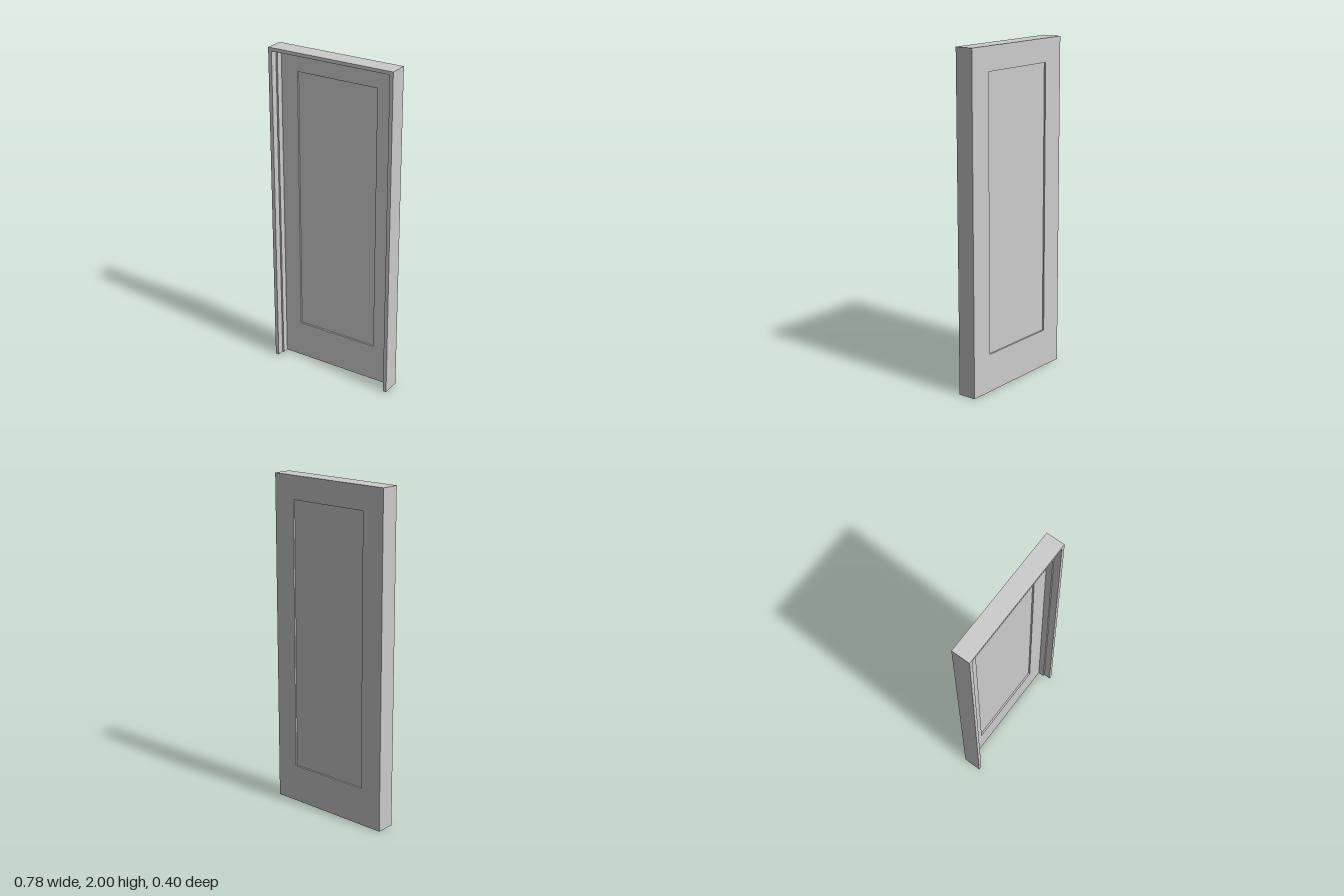
import * as THREE from 'three';

const W = 0.8, H = 2, D = 0.112;      // overall width, height, depth
const DOOR = 0.032;                   // door leaf thickness
const JAMB = 0.022, HEAD = 0.02;      // casing thickness
const STOP = 0.01, STOP_DEPTH = 0.038; // inner stop strip

export function createModel() {
  const model = new THREE.Group();
  model.name = 'door';
  const mat = new THREE.MeshStandardMaterial({ color: 0xcccccc });

  const add = (name, geometry, x = 0, y = 0, z = 0) => {
    const mesh = new THREE.Mesh(geometry, mat);
    mesh.name = name;
    mesh.position.set(x, y, z);
    model.add(mesh);
  };
  const box = (name, w, h, d, x, y, z) => add(name, new THREE.BoxGeometry(w, h, d), x, y, z);

  // Door leaf: a flush slab with a rectangular opening for the panel
  const back = -D / 2, face = back + DOOR;
  const [px, y0, y1] = [0.259, 0.23, 1.86];
  const leaf = new THREE.Shape([
    new THREE.Vector2(-W / 2, 0), new THREE.Vector2(W / 2, 0),
    new THREE.Vector2(W / 2, H), new THREE.Vector2(-W / 2, H),
  ]);
  leaf.holes.push(new THREE.Path([
    new THREE.Vector2(-px, y0), new THREE.Vector2(-px, y1),
    new THREE.Vector2(px, y1), new THREE.Vector2(px, y0),
  ]));
  add('doorLeaf', new THREE.ExtrudeGeometry(leaf, { depth: DOOR, bevelEnabled: false }), 0, 0, back);

  // Panel sunk into both faces
  box('panel', px * 2, y1 - y0, DOOR - 0.02, 0, (y0 + y1) / 2, back + DOOR / 2);

  // Side casings and their stop strips
  const depth = D / 2 - face, mid = (D / 2 + face) / 2, stopZ = face + STOP_DEPTH / 2;
  for (const [side, s] of [['left', 1], ['right', -1]]) {
    box(side + 'Jamb', JAMB, H, depth, s * (W - JAMB) / 2, H / 2, mid);
    box(side + 'Stop', STOP, H - HEAD, STOP_DEPTH, s * (W / 2 - JAMB - STOP / 2), (H - HEAD) / 2, stopZ);
  }

  // Head casing and its stop strip
  box('head', W - 2 * JAMB, HEAD, depth, 0, H - HEAD / 2, mid);
  box('headStop', W - 2 * (JAMB + STOP), STOP, STOP_DEPTH, 0, H - HEAD - STOP / 2, stopZ);

  // The whole door stands at an angle
  model.rotation.y = THREE.MathUtils.degToRad(22);
  const root = new THREE.Group();
  root.name = 'doorAssembly';
  root.add(model);
  return root;
}
